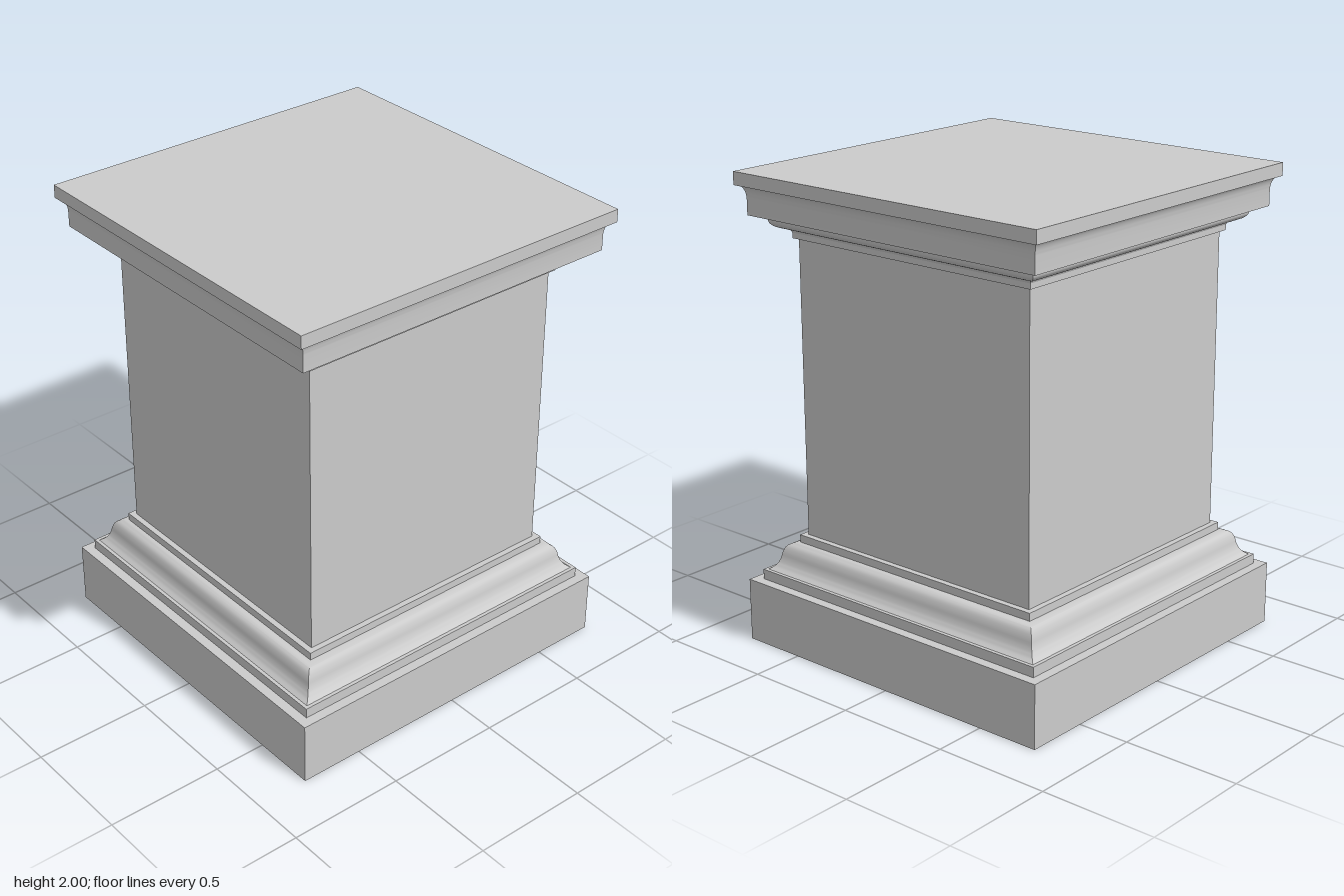
import * as THREE from 'three';
import { toCreasedNormals } from 'three/addons/utils/BufferGeometryUtils.js';

const material = new THREE.MeshStandardMaterial({ color: 0xcccccc, side: THREE.DoubleSide });
const toPoints = (pairs) => pairs.map(([halfWidth, y]) => new THREE.Vector2(halfWidth, y));
const smooth = (pairs, steps = 16) =>
  new THREE.SplineCurve(toPoints(pairs)).getPoints(steps).map((p) => [p.x, p.y]);

// Sweeps a profile of [half width, height] pairs around a square plan
function squareMoulding(name, profile) {
  const points = toPoints(profile);
  points.forEach((p) => { p.x *= Math.SQRT2; });
  const geometry = new THREE.LatheGeometry(points, 4).rotateY(Math.PI / 4);
  const mesh = new THREE.Mesh(toCreasedNormals(geometry, 0.6), material);
  mesh.name = name;
  return mesh;
}

export function createModel() {
  const group = new THREE.Group();
  group.name = 'pedestal';

  // Hollow base, open underneath
  group.add(squareMoulding('plinth', [[0.775, 0], [0.775, 0.27], [0.733, 0.27]]));
  group.add(squareMoulding('baseLowerFillet', [[0.733, 0.27], [0.733, 0.313], [0.718, 0.313]]));
  group.add(squareMoulding('baseMoulding', [
    ...smooth([[0.718, 0.313], [0.695, 0.332], [0.681, 0.36], [0.674, 0.391], [0.661, 0.417], [0.636, 0.43]]),
    [0.622, 0.43],
  ]));
  group.add(squareMoulding('baseUpperFillet', [[0.622, 0.43], [0.622, 0.463], [0.597, 0.463]]));

  // Plain shaft
  group.add(squareMoulding('shaft', [[0.597, 0.463], [0.597, 1.727]]));

  // Cornice
  group.add(squareMoulding('corniceFillet', [[0.597, 1.727], [0.615, 1.727], [0.615, 1.75]]));
  group.add(squareMoulding('corniceMoulding', [
    ...smooth([[0.615, 1.75], [0.622, 1.761], [0.642, 1.767], [0.664, 1.776], [0.678, 1.79], [0.682, 1.805]]),
    [0.682, 1.823],
  ]));
  group.add(squareMoulding('corona', [
    [0.682, 1.823], [0.738, 1.823],
    ...smooth([[0.738, 1.895], [0.741, 1.915], [0.748, 1.933], [0.759, 1.945]], 8),
  ]));
  group.add(squareMoulding('capEdge', [[0.759, 1.945], [0.773, 1.945], [0.773, 2]]));

  // Flat top
  const top = new THREE.Mesh(new THREE.PlaneGeometry(1.546, 1.546).rotateX(-Math.PI / 2), material);
  top.name = 'capTop';
  top.position.y = 2;
  group.add(top);

  return group;
}
